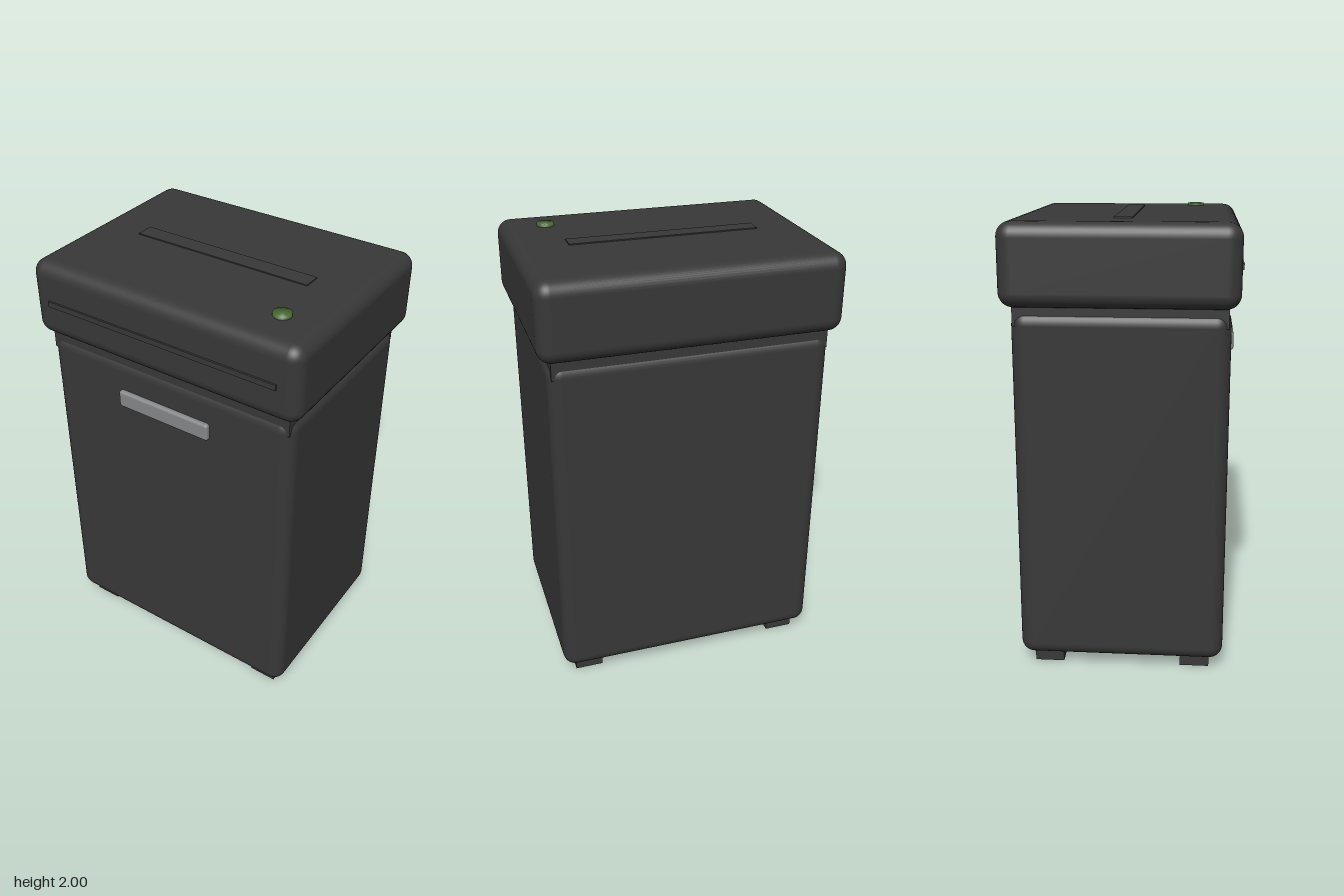
import * as THREE from 'three';
import { RoundedBoxGeometry } from 'three/addons/geometries/RoundedBoxGeometry.js';
import { mergeVertices } from 'three/addons/utils/BufferGeometryUtils.js';

function material(name, color) {
  const m = new THREE.MeshStandardMaterial({ color });
  m.name = name;
  return m;
}

export function createModel() {
  const model = new THREE.Group();
  model.name = 'paperShredder';
  const charcoal = material('charcoal plastic', 0x383838);
  const silver = material('silver grey', 0x858789);
  const green = material('button green', 0x4a6b35);

  const add = (name, geometry, mat, x, y, z) => {
    const mesh = new THREE.Mesh(geometry, mat);
    mesh.name = name;
    mesh.position.set(x, y, z);
    model.add(mesh);
    return mesh;
  };
  // Rounded box given by its size, bottom height and edge radius
  const rounded = (name, w, h, d, bottom, z, radius, mat) =>
    add(name, new RoundedBoxGeometry(w, h, d, 5, radius), mat, 0, bottom + h / 2, z);

  // Bin, recessed collar and cutter head
  rounded('bin', 1.24, 1.57, 0.91, 0.055, 0, 0.06, charcoal);
  add('collar', new THREE.BoxGeometry(1.21, 0.1, 0.89), charcoal, 0, 1.61, 0);
  rounded('cutterHead', 1.32, 0.347, 0.99, 1.64, -0.004, 0.062, charcoal);

  // Paper slot on top and trim strip across the front of the head
  add('paperSlot', new THREE.BoxGeometry(0.85, 0.02, 0.08), charcoal, 0, 1.982, 0);
  add('frontTrim', new THREE.BoxGeometry(1.13, 0.025, 0.02), charcoal, 0, 1.808, 0.489);

  // Bin handle
  rounded('handle', 0.465, 0.08, 0.05, 1.397, 0.451, 0.012, silver);

  // Power button: a short disc with softened shading
  let disc = new THREE.CylinderGeometry(0.039, 0.039, 0.03, 24);
  disc.deleteAttribute('normal');
  disc.deleteAttribute('uv');
  disc = mergeVertices(disc);
  disc.computeVertexNormals();
  add('powerButton', disc, green, 0.462, 1.985, 0.291);

  // Four feet
  for (const x of [-0.495, 0.495]) {
    for (const z of [-0.33, 0.33]) {
      add('foot', new THREE.BoxGeometry(0.13, 0.07, 0.13), charcoal, x, 0.035, z);
    }
  }
  return model;
}
